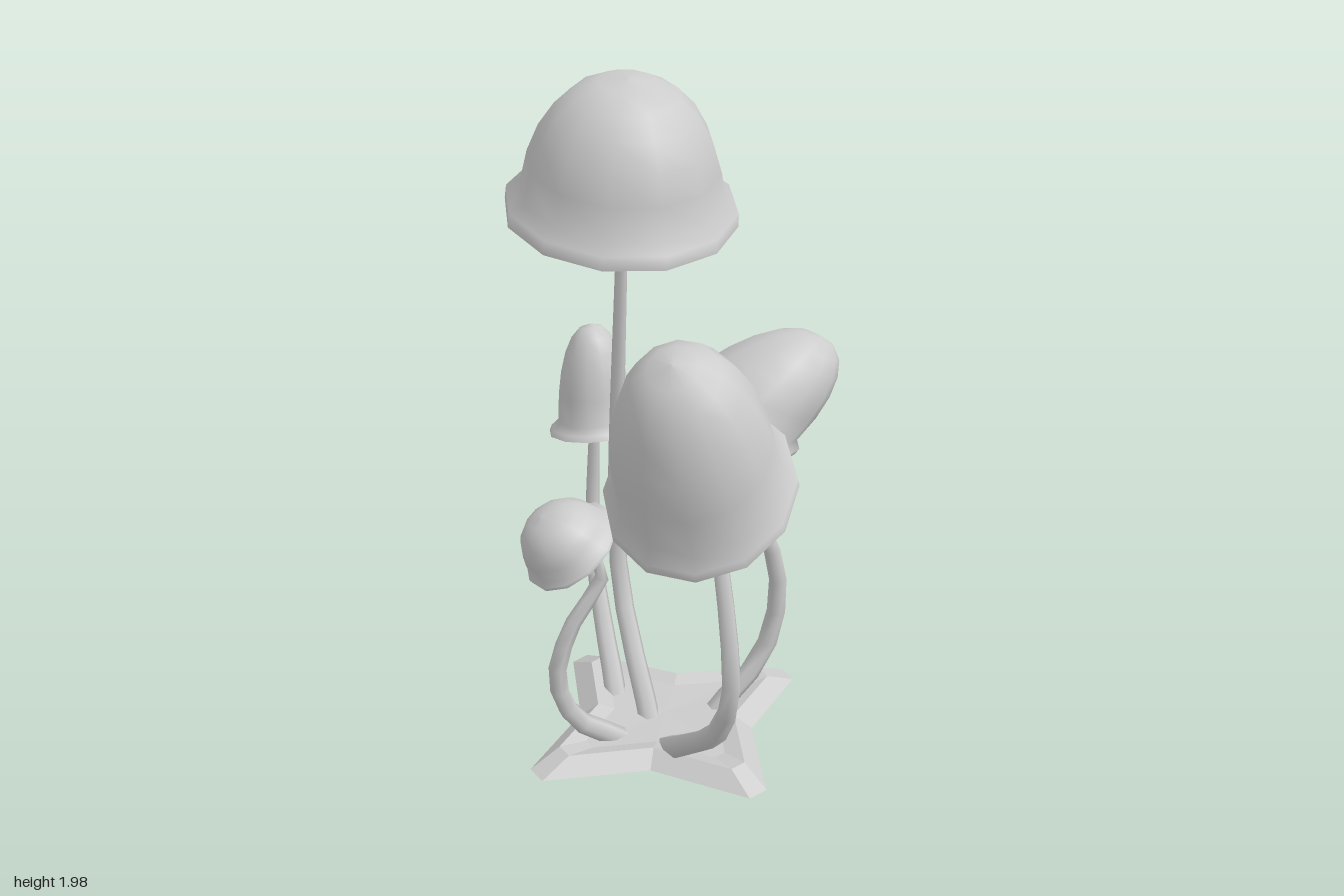
import * as THREE from 'three';
import { mergeGeometries } from 'three/addons/utils/BufferGeometryUtils.js';

const SIDES = 12;
const V = (a) => new THREE.Vector3(...a);
const material = new THREE.MeshStandardMaterial({ color: 0xcccccc, side: THREE.DoubleSide });

const lathe = (pts) => new THREE.LatheGeometry(pts.map(([x, y]) => new THREE.Vector2(x, y)), SIDES);

// Cap: rim disc faces along `normal`, the rounded crown leans along `axis`;
// `crown` is the crown's width and `lip` the rim's height, as fractions of the cap
function makeCap({ center, radius, normal, axis, crown, lip }) {
  const outline = [[1, 0], [(1 + crown) / 2 + 0.05, lip]];
  const start = Math.asin(lip + 0.06);
  for (let i = 0; i <= 6; i++) {
    const t = THREE.MathUtils.lerp(start, Math.PI / 2, i / 6);
    outline.push([i < 6 ? crown * Math.cos(t) ** 0.87 : 0, Math.sin(t)]);
  }
  const geometry = mergeGeometries([lathe(outline), lathe([[0, 0], [1, 0]])]);
  const tilt = new THREE.Quaternion().setFromUnitVectors(V([0, 1, 0]), V(normal).normalize());
  const u = V([radius, 0, 0]).applyQuaternion(tilt);
  const w = V([0, 0, radius]).applyQuaternion(tilt);
  geometry.applyMatrix4(new THREE.Matrix4().makeBasis(u, V(axis), w).setPosition(V(center)));
  const mesh = new THREE.Mesh(geometry, material);
  mesh.name = 'cap';
  return mesh;
}

// Stem: a six-sided tube narrowing upwards. It bends in the plane of `bend` ('x' or 'z'),
// following [offset, height] points, and drifts evenly across that plane
function makeStem({ bend, drift, thick, path }) {
  const curve = new THREE.CatmullRomCurve3(path.map(([a, y], i) => {
    const b = THREE.MathUtils.lerp(...drift, i / (path.length - 1));
    return bend === 'x' ? V([a, y, b]) : V([b, y, a]);
  }));
  const rings = 12, sides = 6;
  const geometry = new THREE.TubeGeometry(curve, rings, 1, sides);
  const pos = geometry.attributes.position;
  const p = new THREE.Vector3();
  for (let i = 0; i <= rings; i++) {
    const c = curve.getPointAt(i / rings);
    const r = thick * (1 - 0.53 * i / rings);
    for (let j = 0; j <= sides; j++) {
      const k = i * (sides + 1) + j;
      p.fromBufferAttribute(pos, k).sub(c).multiplyScalar(r).add(c);
      pos.setXYZ(k, p.x, p.y, p.z);
    }
  }
  const mesh = new THREE.Mesh(geometry, material);
  mesh.name = 'stem';
  return mesh;
}

function makeMushroom(name, cap, stem) {
  const group = new THREE.Group();
  group.name = name;
  group.add(makeCap(cap), makeStem(stem));
  return group;
}

// Ground patch: four-pointed star with blunt tips, bevelled edge and hollow underside
function makeGround() {
  const tips = [[0.42, -0.05], [0.1, 0.41], [-0.43, 0.1], [-0.13, -0.37]];
  const outline = [];
  tips.forEach(([x, z], i) => {
    const [nx, nz] = tips[(i + 1) % 4];
    outline.push([x + z * 0.07, z - x * 0.07], [x - z * 0.07, z + x * 0.07]);
    outline.push([(x + nx) * 0.4, (z + nz) * 0.4]);
  });
  const ring = (s, y) => outline.map(([x, z]) => [x * s, y, z * s]);
  const rings = [ring(1, 0.165), ring(0.79, 0.205), ring(0.6, 0.19), ring(0, 0.185)];
  const positions = [];
  for (let k = 0; k < 3; k++) {
    for (let i = 0; i < outline.length; i++) {
      const j = (i + 1) % outline.length;
      const a = rings[k][i], b = rings[k][j], c = rings[k + 1][j], d = rings[k + 1][i];
      positions.push(...a, ...c, ...b);
      if (k < 2) positions.push(...a, ...d, ...c);
    }
  }
  const geometry = new THREE.BufferGeometry();
  geometry.setAttribute('position', new THREE.Float32BufferAttribute(positions, 3));
  geometry.computeVertexNormals();
  const mesh = new THREE.Mesh(geometry, material);
  mesh.name = 'ground';
  return mesh;
}

export function createModel() {
  const model = new THREE.Group();
  model.name = 'mushroomCluster';
  model.add(makeGround());

  model.add(makeMushroom('tallMushroom',
    { center: [-0.04, 1.645, -0.195], radius: 0.302, normal: [0, 1, 0.18], axis: [0.01, 0.35, 0.04], crown: 0.88, lip: 0.1 },
    { bend: 'z', drift: [-0.05, -0.04], thick: 0.033,
      path: [[0.04, 0.1], [-0.04, 0.22], [-0.16, 0.37], [-0.24, 0.52], [-0.265, 0.76], [-0.185, 1.65]] }));

  model.add(makeMushroom('frontMushroom',
    { center: [-0.06, 1.12, 0.36], radius: 0.242, normal: [-0.5, 1, 0.47], axis: [-0.11, 0.39, 0.08], crown: 0.88, lip: 0.06 },
    { bend: 'z', drift: [-0.05, -0.045], thick: 0.037,
      path: [[0.05, 0.1], [0.27, 0.28], [0.46, 0.46], [0.53, 0.62], [0.51, 0.78], [0.38, 1.17]] }));

  model.add(makeMushroom('leftMushroom',
    { center: [0.15, 1.13, 0.06], radius: 0.198, normal: [0.55, 1, 0], axis: [0.25, 0.21, 0.02], crown: 0.88, lip: 0.06 },
    { bend: 'x', drift: [0.03, 0.05], thick: 0.034,
      path: [[0.04, 0.04], [0.16, 0.19], [0.285, 0.33], [0.33, 0.55], [0.27, 0.77], [0.11, 0.97], [0.14, 1.15]] }));

  model.add(makeMushroom('smallMushroom',
    { center: [-0.285, 0.84, 0.05], radius: 0.14, normal: [-0.7, 1, 0], axis: [-0.085, 0.11, 0], crown: 0.9, lip: 0.08 },
    { bend: 'x', drift: [0.04, 0.05], thick: 0.034,
      path: [[-0.1, 0.11], [-0.17, 0.18], [-0.29, 0.28], [-0.34, 0.43], [-0.3, 0.58], [-0.2, 0.75], [-0.27, 0.85]] }));

  model.add(makeMushroom('backMushroom',
    { center: [-0.035, 0.91, -0.435], radius: 0.138, normal: [0, 1, -0.19], axis: [0, 0.32, -0.025], crown: 0.8, lip: 0.05 },
    { bend: 'z', drift: [-0.11, -0.04], thick: 0.034,
      path: [[-0.1, 0.12], [-0.16, 0.19], [-0.27, 0.31], [-0.39, 0.5], [-0.43, 0.67], [-0.435, 0.93]] }));

  return model;
}
